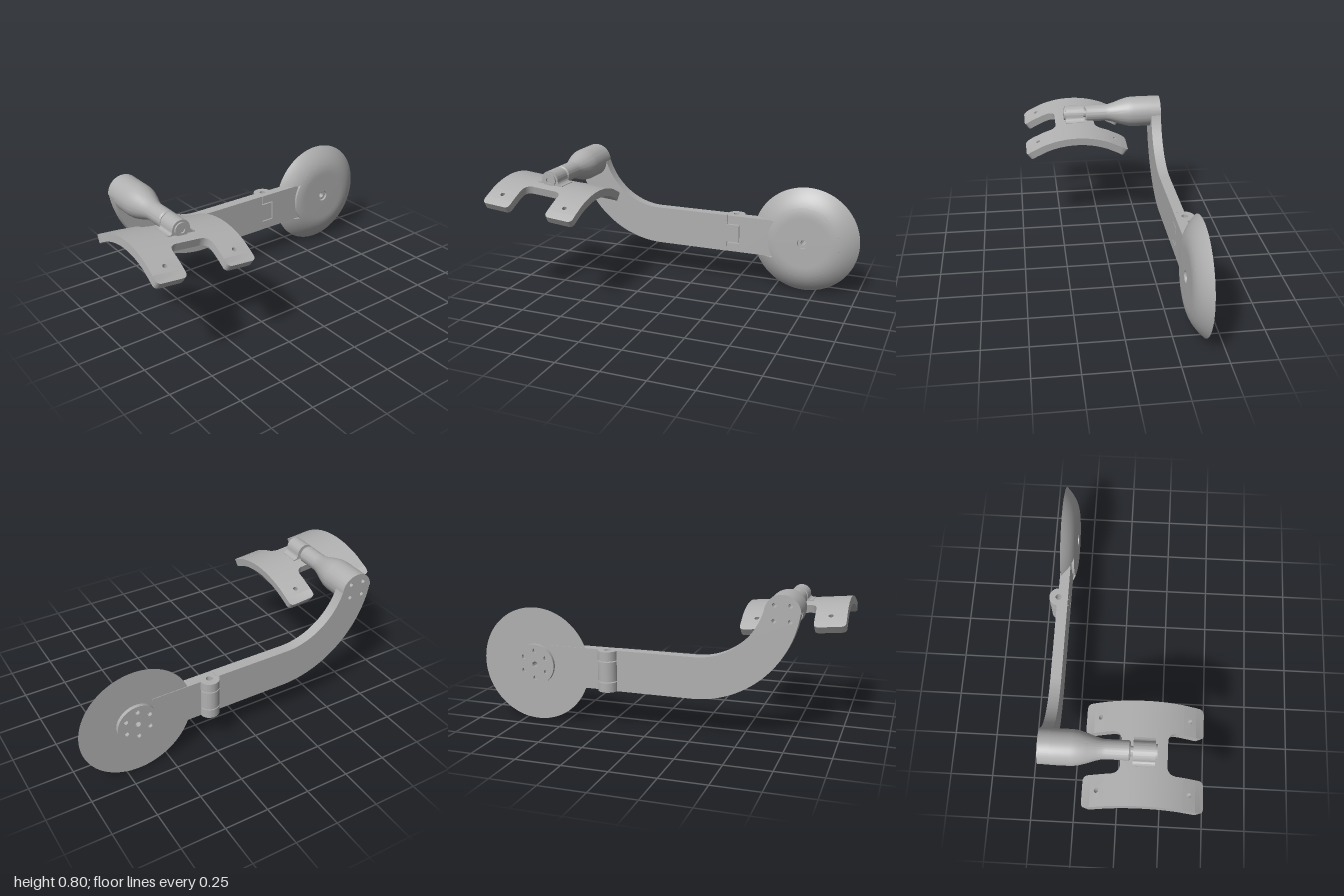
import * as THREE from 'three';
import { toCreasedNormals } from 'three/addons/utils/BufferGeometryUtils.js';
import { ParametricGeometry } from 'three/addons/geometries/ParametricGeometry.js';

const grey = new THREE.MeshStandardMaterial({ color: 0xb0b0b0, side: THREE.DoubleSide });
grey.name = 'plain grey';

function add(parent, name, geometry, crease = 0.5) {
  const mesh = new THREE.Mesh(toCreasedNormals(geometry, crease), grey);
  mesh.name = name;
  parent.add(mesh);
  return mesh;
}

const circle = (x, y, r) => new THREE.Path().absarc(x, y, r, 0, Math.PI * 2, true);

// Extrude a shape drawn in (z, y) so that it spans x0..x1
function extrudeX(shape, x0, x1) {
  const g = new THREE.ExtrudeGeometry(shape, { depth: x1 - x0, bevelEnabled: false, curveSegments: 32 });
  return g.rotateY(-Math.PI / 2).translate(x1, 0, 0);
}

// Lathe around the x axis; points are [radius, x]
function latheX(points, y, z) {
  const g = new THREE.LatheGeometry(points.map(p => new THREE.Vector2(p[0], p[1])), 64);
  return g.rotateZ(-Math.PI / 2).translate(0, y, z);
}

function moveVertices(g, rule) {
  const p = g.attributes.position;
  const v = new THREE.Vector3();
  for (let i = 0; i < p.count; i++) {
    rule(v.fromBufferAttribute(p, i));
    p.setXYZ(i, v.x, v.y, v.z);
  }
  return g;
}

// Domed disc with a notch for the link, flat back and a drilled hub
const DOME = { y: 0.322, z: -0.678, r: 0.322, notch: 0.215, half: 0.115 };
const domeX = r => -0.40 + 0.08 * (1 - Math.pow(Math.max(0, (r - 0.15) / (DOME.r - 0.15)), 2.2));

function makeDisc() {
  const disc = new THREE.Group();
  disc.name = 'domedDisc';
  const profile = [[0.016, -0.42], [0.016, -0.335], [0.033, -0.335], [0.033, -0.32]];
  for (let i = 0; i <= 6; i++) {
    const r = 0.15 + (DOME.notch - 0.15) * i / 6;
    profile.push([r, domeX(r)]);
  }
  profile.push([DOME.notch, -0.36]);
  add(disc, 'domeCentre', latheX(profile, DOME.y, DOME.z));

  // Outer skirt, whose first and last columns drop down as the notch walls
  const n = 96;
  const skirt = new ParametricGeometry((u, v, out) => {
    const r = DOME.notch + (DOME.r - DOME.notch) * v;
    const a = Math.asin(DOME.half / r);
    const column = Math.round(u * (n + 2));
    const t = Math.min(1, Math.max(0, (column - 1) / n));
    const phi = a + (Math.PI * 2 - 2 * a) * t;
    const wall = column === 0 || column === n + 2;
    out.set(wall ? -0.40 : domeX(r), DOME.y + r * Math.sin(phi), DOME.z + r * Math.cos(phi));
  }, n + 2, 14);
  add(disc, 'domeSkirt', skirt);
  add(disc, 'discBack', new THREE.RingGeometry(0.016, DOME.r, 96, 1)
    .rotateY(-Math.PI / 2).translate(-0.40, DOME.y, DOME.z));

  const hub = new THREE.Shape().absarc(DOME.z, DOME.y, 0.115, 0, Math.PI * 2);
  hub.holes.push(circle(DOME.z, DOME.y, 0.016));
  for (let i = 0; i < 6; i++) {
    const a = i * Math.PI / 3 + Math.PI / 6;
    hub.holes.push(circle(DOME.z + 0.078 * Math.cos(a), DOME.y + 0.078 * Math.sin(a), 0.013));
  }
  add(disc, 'hub', extrudeX(hub, -0.42, -0.40));
  return disc;
}

// Hinge knuckle spanning y0..y1, with a flat inner side and a pin hole
function knuckle(y0, y1, zPlus, zMinus) {
  const s = new THREE.Shape();
  s.absarc(0, 0, 0.055, Math.PI, Math.PI * 2, false);
  s.lineTo(zPlus, 0.055);
  s.lineTo(zMinus, 0.055);
  s.closePath();
  s.holes.push(circle(0, 0, 0.018));
  const g = new THREE.ExtrudeGeometry(s, { depth: y1 - y0, bevelEnabled: false, curveSegments: 24 });
  // Turn (z, x, depth) into world axes by a cyclic swap
  return moveVertices(g, v => v.set(v.y - 0.40, v.z + y0, v.x - 0.243));
}

// Arm: straight bar that sweeps up into a round end
function makeArm() {
  const s = new THREE.Shape();
  s.moveTo(-0.2, 0.208);
  s.lineTo(0.235, 0.208);
  s.absarc(0.235, 0.777, 0.569, -Math.PI / 2, -0.13, false);
  s.absarc(0.707, 0.70, 0.095, 0, Math.PI, false);
  s.absarc(0.25, 0.815, 0.378, -0.31, -Math.PI / 2, true);
  s.lineTo(-0.2, 0.437);
  s.closePath();
  for (let i = 0; i < 4; i++) {
    const a = Math.PI / 4 + i * Math.PI / 2;
    s.holes.push(circle(0.707 + 0.058 * Math.cos(a), 0.70 + 0.058 * Math.sin(a), 0.012));
  }
  return extrudeX(s, -0.407, -0.345);
}

// Arched H-shaped pad, built flat and then bent around the z axis
const R = 0.546, T = 0.046;
const bend = g => moveVertices(g, v => {
  const a = v.x / R, r = R + v.y;
  v.set(r * Math.sin(a), r * Math.cos(a) - R, v.z);
});
const slab = shape => bend(new THREE.ExtrudeGeometry(shape, { depth: T, bevelEnabled: false, curveSegments: 10 })
  .rotateX(-Math.PI / 2).translate(0, -T, 0));

function makePad() {
  const pad = new THREE.Group();
  pad.name = 'archedPad';
  pad.position.set(0.14, 0.676, 0.707);
  pad.rotation.x = -0.098;
  const w0 = 0.115, w1 = 0.285, u1 = 0.21, u2 = 0.285, u3 = 0.336, c = 0.03;

  for (const side of [-1, 1]) {
    const middle = new THREE.BoxGeometry(2 * u1, T, w1 - w0, 24, 1, 1).translate(0, -T / 2, side * (w0 + w1) / 2);
    add(pad, 'padBar', bend(middle));
    for (const end of [-1, 1]) {
      // Drilled section
      const lo = end > 0 ? u1 : -u2, hi = end > 0 ? u2 : -u1;
      const b = side > 0 ? -w1 : w0, t = side > 0 ? -w0 : w1;
      const tile = new THREE.Shape();
      tile.moveTo(lo, b).lineTo(hi, b).lineTo(hi, t).lineTo(lo, t).closePath();
      tile.holes.push(circle(end * 0.248, -side * 0.2, 0.013));
      add(pad, 'drilledSection', slab(tile));
      // Rounded tip
      const tip = new THREE.Shape();
      tip.moveTo(end * u2, b);
      tip.lineTo(end * (u3 - c), b);
      tip.quadraticCurveTo(end * u3, b, end * u3, b + c);
      tip.lineTo(end * u3, t - c);
      tip.quadraticCurveTo(end * u3, t, end * (u3 - c), t);
      tip.lineTo(end * u2, t);
      tip.closePath();
      add(pad, 'padTip', slab(tip));
    }
  }

  // Neck with filleted corners where it meets the bars
  const f = 0.045;
  const neck = moveVertices(new THREE.BoxGeometry(1, T, 2 * w0, 16, 1, 40).translate(0, -T / 2, 0), v => {
    const d = Math.max(0, Math.abs(v.z) - (w0 - f));
    v.x *= 2 * (0.124 + f - Math.sqrt(Math.max(0, f * f - d * d)));
  });
  add(pad, 'padNeck', bend(neck));
  return pad;
}

// Flared bearing that carries the pad on the post
function makeBearing() {
  const z = 0.707, y = 0.70;
  const s = new THREE.Shape();
  s.moveTo(z - 0.08, y - 0.05);
  s.lineTo(z - 0.08, y - 0.03);
  s.quadraticCurveTo(z - 0.052, y - 0.025, z - 0.052, y);
  s.absarc(z, y, 0.052, Math.PI, 0, true);
  s.quadraticCurveTo(z + 0.052, y - 0.02, z + 0.08, y - 0.015);
  s.lineTo(z + 0.08, y - 0.05);
  s.closePath();
  return extrudeX(s, 0.082, 0.197);
}

export function createModel() {
  const model = new THREE.Group();
  model.name = 'jointedArm';
  model.add(makeDisc());

  // Link under the dome and its hinge
  add(model, 'link', new THREE.BoxGeometry(0.058, 0.227, 0.30).translate(-0.374, 0.3225, -0.43));
  add(model, 'lowerHingeKnuckle', knuckle(0.209, 0.262, 0.042, -0.045));
  add(model, 'upperHingeKnuckle', knuckle(0.384, 0.436, 0.042, -0.045));
  add(model, 'middleHingeKnuckle', knuckle(0.268, 0.378, 0.055, -0.032));

  add(model, 'arm', makeArm());

  // Tapered post with the bearing pin and end cap
  add(model, 'post', latheX([
    [0, -0.345], [0.095, -0.345], [0.095, -0.235], [0.091, -0.2], [0.078, -0.155], [0.062, -0.11],
    [0.054, -0.08], [0.052, -0.06], [0.052, 0.06], [0.045, 0.068], [0.024, 0.068], [0.024, 0.197],
    [0.04, 0.197], [0.04, 0.207], [0.018, 0.207], [0.018, 0.198], [0, 0.198],
  ], 0.70, 0.707));
  add(model, 'bearing', makeBearing());
  model.add(makePad());
  return model;
}
